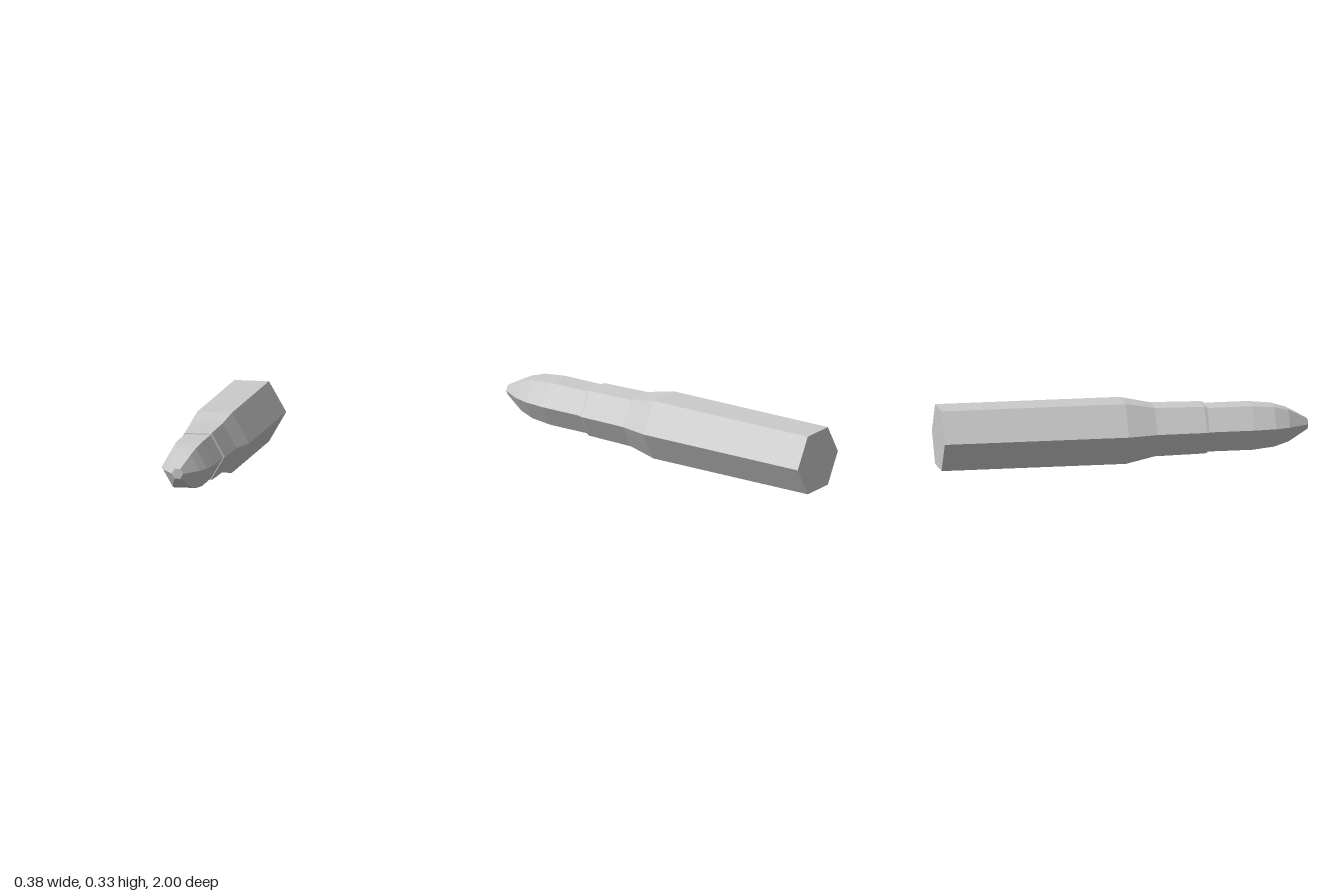
import * as THREE from 'three';

const SIDES = 6;
const RADIUS = 0.188;
const CENTRE_Y = RADIUS * Math.cos(Math.PI / SIDES);

// Six-sided turned part lying along z, from [radius, z] pairs listed back to front
function turnedPart(name, profile) {
  const points = profile.map(([r, z]) => new THREE.Vector2(r, z));
  const geometry = new THREE.LatheGeometry(points, SIDES, Math.PI / 2);
  geometry.rotateX(Math.PI / 2);
  const material = new THREE.MeshStandardMaterial({ color: 0xcccccc, flatShading: true });
  const mesh = new THREE.Mesh(geometry, material);
  mesh.name = name;
  mesh.position.y = CENTRE_Y;
  return mesh;
}

export function createModel() {
  const model = new THREE.Group();
  model.name = 'cartridge';

  // Casing: flat base, straight body, tapered shoulder, neck and bevelled mouth
  model.add(turnedPart('casing', [
    [0, -1], [RADIUS, -1], [RADIUS, 0], [0.152, 0.16],
    [0.147, 0.43], [0.143, 0.445], [0.136, 0.445],
  ]));

  // Bullet: straight shank curving in to a blunt tip
  model.add(turnedPart('bullet', [
    [0.137, 0.43], [0.137, 0.69], [0.124, 0.81], [0.098, 0.89], [0.031, 1], [0, 1],
  ]));

  return model;
}
